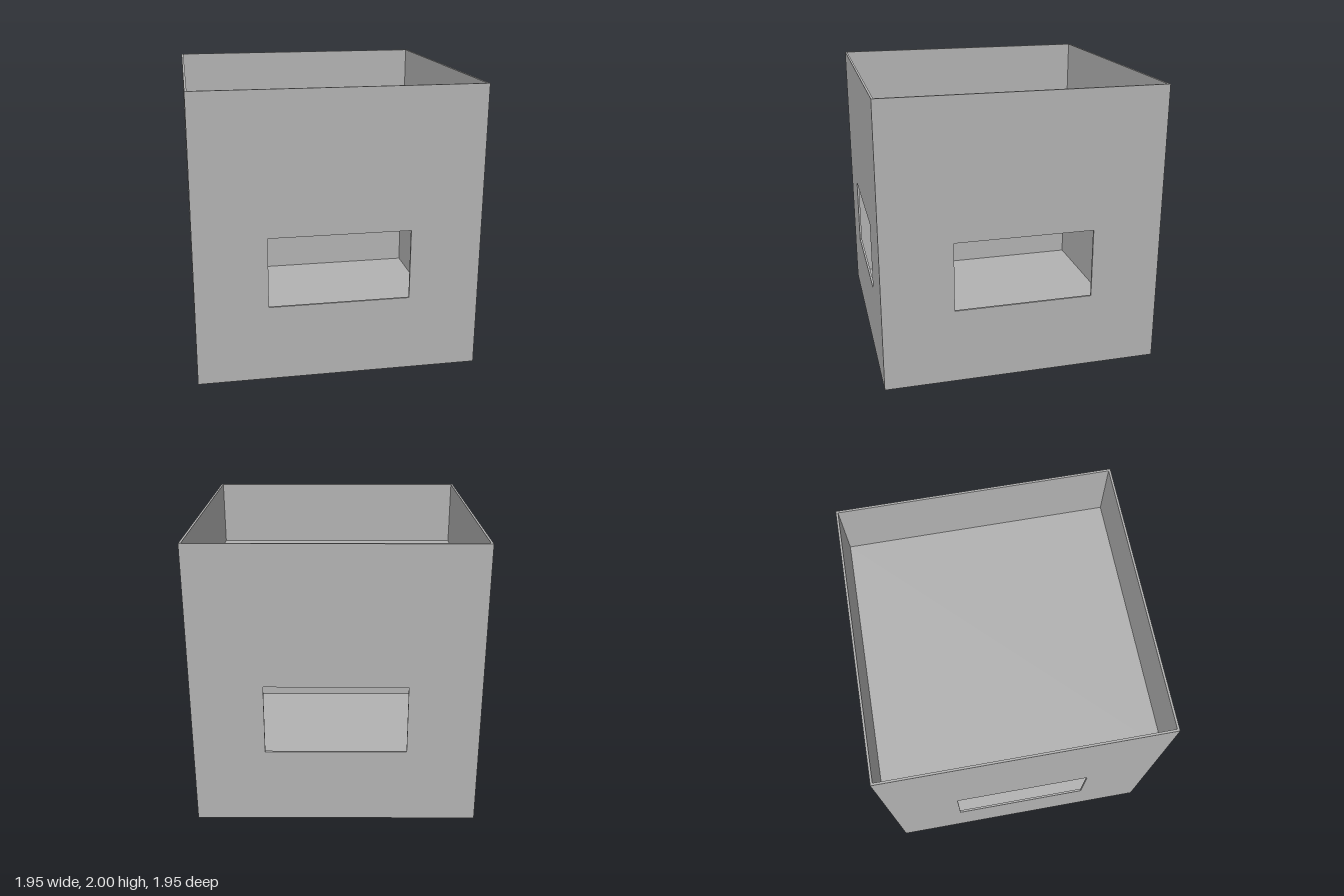
import * as THREE from 'three';

const HALF = 0.977;      // half of the outer width
const WALL = 0.015;      // wall thickness
const FLOOR = 0.044;     // base thickness
const TOP = 2;

// Upright panel with a rectangular window, its outer face at z = HALF
function wallGeometry(halfWidth) {
  const shape = new THREE.Shape();
  shape.moveTo(-halfWidth, FLOOR);
  shape.lineTo(halfWidth, FLOOR);
  shape.lineTo(halfWidth, TOP);
  shape.lineTo(-halfWidth, TOP);
  shape.closePath();
  const opening = new THREE.Path();
  opening.moveTo(-0.485, 0.532);
  opening.lineTo(-0.485, 1.021);
  opening.lineTo(0.485, 1.021);
  opening.lineTo(0.485, 0.532);
  opening.closePath();
  shape.holes.push(opening);
  return new THREE.ExtrudeGeometry(shape, { depth: WALL, bevelEnabled: false })
    .translate(0, 0, HALF - WALL);
}

export function createModel() {
  const group = new THREE.Group();
  const grey = new THREE.MeshStandardMaterial({ color: 0xb2b2b2 });
  grey.name = 'concreteGrey';

  // Four walls; the side walls fit between the front and back ones
  ['frontWall', 'leftWall', 'backWall', 'rightWall'].forEach((name, i) => {
    const wall = new THREE.Mesh(wallGeometry(i % 2 ? HALF - WALL : HALF), grey);
    wall.name = name;
    wall.rotation.y = i * Math.PI / 2;
    group.add(wall);
  });

  // Horizontal slabs: base under the walls, roof sunk below the parapet
  const slab = (name, half, bottom, top) => {
    const mesh = new THREE.Mesh(new THREE.BoxGeometry(half * 2, top - bottom, half * 2), grey);
    mesh.name = name;
    mesh.position.y = (bottom + top) / 2;
    group.add(mesh);
  };
  slab('floor', HALF, 0, FLOOR);
  slab('roof', HALF - WALL, 1.475, 1.514);

  return group;
}
